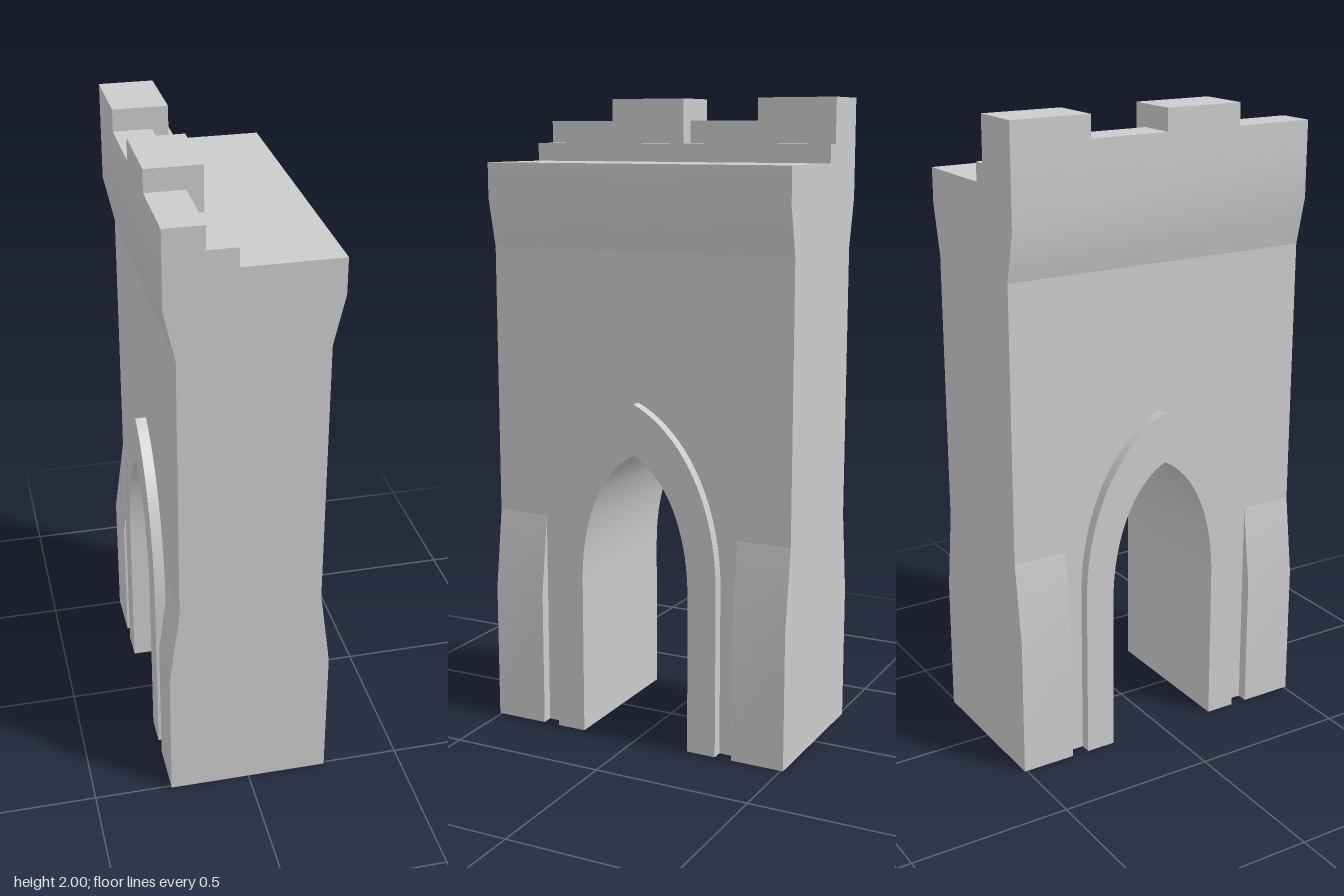
import * as THREE from 'three';
import { toCreasedNormals } from 'three/addons/utils/BufferGeometryUtils.js';

const X = 0.254;      // half thickness at foot, trim and top
const CORE = 0.22;    // half thickness of the plain wall
const Z = 0.508;      // half width
const NECK = 1.545;   // height where the top flares out

const grey = new THREE.MeshStandardMaterial({ color: 0xcccccc });

function add(group, name, geometry) {
  const mesh = new THREE.Mesh(toCreasedNormals(geometry, 0.5), grey);
  mesh.name = name;
  group.add(mesh);
  return mesh;
}

// Extrude a shape by depth, centred on its own z
function extrude(shape, depth) {
  return new THREE.ExtrudeGeometry(shape, { depth, bevelEnabled: false, curveSegments: 20 })
    .translate(0, 0, -depth / 2);
}

// Shape drawn as (z, y), extruded through the wall along x
const extrudeX = (shape, depth) => extrude(shape, depth).rotateY(-Math.PI / 2);

const polygon = (points) => new THREE.Shape(points.map(([a, b]) => new THREE.Vector2(a, b)));

// Pointed arch line between the two feet; dir = 1 runs from +z to -z
function archLine(shape, { w, spring, y1, w2, y2, apex }, dir) {
  shape.lineTo(dir * w, 0);
  shape.lineTo(dir * w, spring);
  shape.bezierCurveTo(dir * w, y1, dir * w2, y2, 0, apex);
  shape.bezierCurveTo(-dir * w2, y2, -dir * w, y1, -dir * w, spring);
  shape.lineTo(-dir * w, 0);
}

const INNER = { w: 0.185, spring: 0.5, y1: 0.72, w2: 0.105, y2: 0.875, apex: 0.925 };
const OUTER = { w: 0.28, spring: 0.53, y1: 0.8, w2: 0.165, y2: 1.01, apex: 1.085 };

export function createModel() {
  const tower = new THREE.Group();
  tower.name = 'gateTower';

  // Plain wall, cut out around the arch
  const wall = new THREE.Shape();
  wall.moveTo(-Z, 0);
  archLine(wall, OUTER, -1);
  wall.lineTo(Z, 0);
  wall.lineTo(Z, NECK);
  wall.lineTo(-Z, NECK);
  wall.closePath();
  add(tower, 'wall', extrudeX(wall, CORE * 2));

  // Raised arch surround running through the whole gate
  const surround = new THREE.Shape();
  surround.moveTo(OUTER.w, 0);
  archLine(surround, OUTER, 1);
  archLine(surround, INNER, -1);
  surround.closePath();
  add(tower, 'archSurround', extrudeX(surround, X * 2));

  // Four sloped buttresses at the corners
  const inside = 0.335;
  for (const sx of [1, -1]) {
    for (const sz of [1, -1]) {
      const points = [[CORE, 0], [X, 0], [X, 0.435], [CORE, 0.69]].map(([x, y]) => [x * sx, y]);
      const buttress = add(tower, 'buttress', extrude(polygon(points), Z - inside));
      buttress.position.z = sz * (Z + inside) / 2;
    }
  }

  // Flared top with the deck and the parapet step
  const top = polygon([
    [-CORE, NECK], [CORE, NECK], [X, 1.695], [X, 1.805],
    [-0.045, 1.805], [-0.045, 1.862], [-X, 1.862], [-X, 1.695],
  ]);
  add(tower, 'flaredTop', extrude(top, Z * 2));

  // Parapet along the -x edge: tall merlons alternating with low crenels
  for (let i = 0; i < 4; i++) {
    const tall = i % 2 === 0;
    const inner = tall ? -0.085 : -0.135;
    const height = (tall ? 2 : 1.932) - 1.862;
    const block = add(tower, tall ? 'merlon' : 'crenel', new THREE.BoxGeometry(inner + X, height, Z / 2));
    block.position.set((inner - X) / 2, 1.862 + height / 2, -Z + (i + 0.5) * Z / 2);
  }

  return tower;
}
